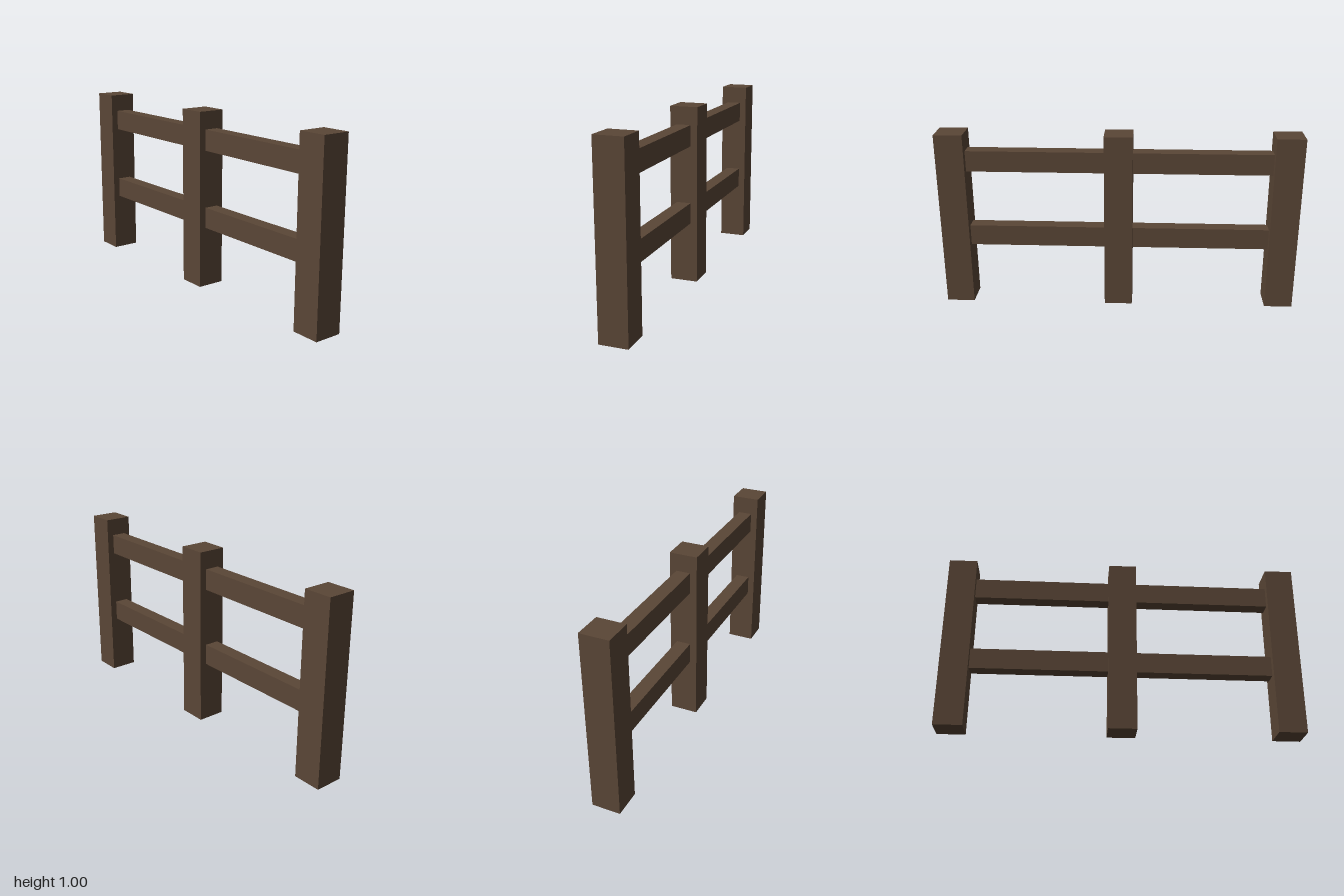
import * as THREE from 'three';

const POST = 0.157; // square post width
const HEIGHT = 1.0;
const RAIL_HEIGHT = 0.117;
const RAIL_DEPTH = 0.08;

export function createModel() {
  const fence = new THREE.Group();
  fence.name = 'fence';
  const wood = new THREE.MeshStandardMaterial({ color: 0x5a4636, flatShading: true });

  const addBox = (name, w, h, d, x, y) => {
    const mesh = new THREE.Mesh(new THREE.BoxGeometry(w, h, d), wood);
    mesh.name = name;
    mesh.position.set(x, y, 0);
    fence.add(mesh);
  };

  // Three upright posts
  const spacing = 1 - POST / 2;
  const posts = { rightPost: -spacing, middlePost: 0, leftPost: spacing };
  for (const [name, x] of Object.entries(posts)) {
    addBox(name, POST, HEIGHT, POST, x, HEIGHT / 2);
  }

  // Two rails in each bay, fitted between the posts
  const rails = { lowerRail: 0.402, upperRail: 0.842 };
  for (const [side, x] of [['right', -spacing / 2], ['left', spacing / 2]]) {
    for (const [name, y] of Object.entries(rails)) {
      addBox(`${side} ${name}`, spacing - POST, RAIL_HEIGHT, RAIL_DEPTH, x, y);
    }
  }
  return fence;
}
